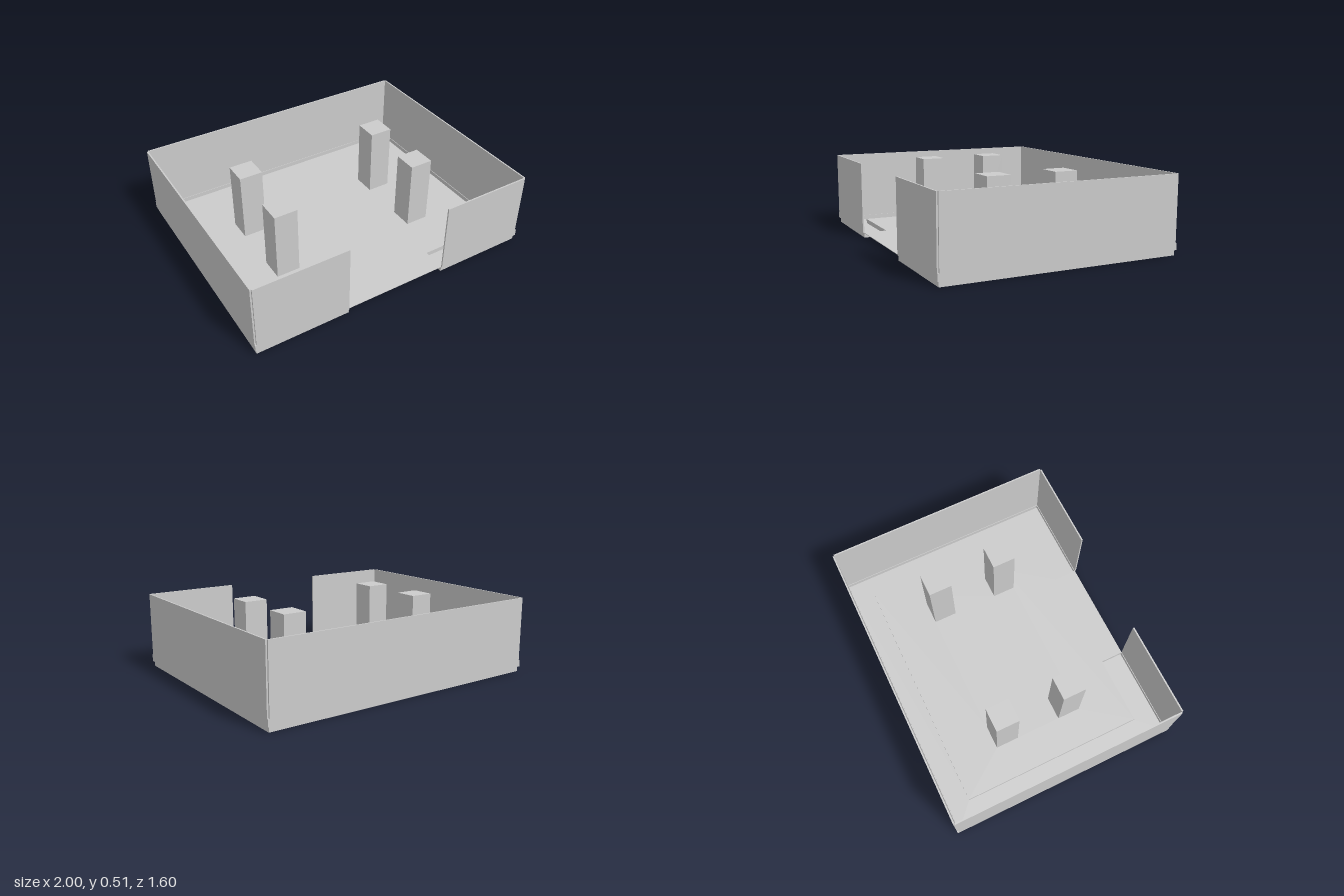
import * as THREE from 'three';

const WALL_TOP = 0.515, FLOOR_Y = 0.035, SHEET = 0.004, WALL = 0.01;
const OPEN = 0.36;                                  // half width of the front opening
const RIM_X = 0.83, RIM_BACK = -0.64, RIM_FRONT = 0.63;
const material = new THREE.MeshStandardMaterial({ color: 0xcccccc, side: THREE.DoubleSide, flatShading: true });

export function createModel() {
  const group = new THREE.Group();

  const add = (name, geometry) => {
    const mesh = new THREE.Mesh(geometry, material);
    mesh.name = name;
    group.add(mesh);
  };

  // Box given by its lower and upper limits
  const box = (name, x0, x1, y0, y1, z0, z1) => {
    const g = new THREE.BoxGeometry(x1 - x0, y1 - y0, z1 - z0);
    add(name, g.translate((x0 + x1) / 2, (y0 + y1) / 2, (z0 + z1) / 2));
  };

  // Flat plate from [x, z] outline and holes, standing on y0
  const toPoints = (list) => list.map(([x, z]) => new THREE.Vector2(x, -z));
  const plate = (name, outline, holes, y0, height) => {
    const shape = new THREE.Shape(toPoints(outline));
    holes.forEach((h) => shape.holes.push(new THREE.Path(toPoints(h))));
    const g = new THREE.ExtrudeGeometry(shape, { depth: height, bevelEnabled: false });
    add(name, g.rotateX(-Math.PI / 2).translate(0, y0, 0));
  };
  const square = (x, z, r) => [[x - r, z - r], [x + r, z - r], [x + r, z + r], [x - r, z + r]];

  // Outline of the raised floor, running out through the front opening
  const floor = [
    [-OPEN, 0.79], [-OPEN, RIM_FRONT], [-RIM_X, RIM_FRONT], [-RIM_X, RIM_BACK],
    [RIM_X, RIM_BACK], [RIM_X, RIM_FRONT], [OPEN, RIM_FRONT], [OPEN, 0.79],
  ];
  const pillars = [];
  for (const x of [-0.517, 0.517]) for (const z of [-0.24, 0.235]) pillars.push([x, z]);

  plate('floor', floor, pillars.map(([x, z]) => square(x, z, 0.08)), FLOOR_Y - SHEET, SHEET);

  // Sunken channel under the walls, with its risers up to the floor
  plate('channelBottom', [...floor, [0.99, 0.79], [0.99, -0.79], [-0.99, -0.79], [-0.99, 0.79]], [], 0, SHEET);
  for (let i = 0; i < floor.length - 1; i++) {
    const [ax, az] = floor[i], [bx, bz] = floor[i + 1], t = SHEET / 2;
    box('channelRiser', Math.min(ax, bx) - t, Math.max(ax, bx) + t, 0, FLOOR_Y,
      Math.min(az, bz) - t, Math.max(az, bz) + t);
  }

  // Pillars with a shallow recess underneath
  for (const [x, z] of pillars) {
    box('pillar', x - 0.08, x + 0.08, 0.07, WALL_TOP, z - 0.08, z + 0.08);
    plate('pillarFoot', square(x, z, 0.08), [square(x, z, 0.078)], FLOOR_Y - SHEET, 0.07 - FLOOR_Y + SHEET);
  }

  // Thin outer walls, set back a little at the foot and at the corners
  box('backWall', -0.99, 0.99, FLOOR_Y, WALL_TOP, -0.8, -0.8 + WALL);
  box('backFoot', -0.99, 0.99, 0, FLOOR_Y, -0.79, -0.79 + SHEET);
  for (const s of [-1, 1]) {
    const mirrored = (name, x0, x1, ...rest) => box(name, Math.min(s * x0, s * x1), Math.max(s * x0, s * x1), ...rest);
    mirrored('sideWall', 0.99, 1, FLOOR_Y, WALL_TOP, -0.79, 0.79);
    mirrored('sideFoot', 0.99 - SHEET, 0.99, 0, FLOOR_Y, -0.79, 0.79);
    mirrored('frontWall', OPEN, 0.99, FLOOR_Y, WALL_TOP, 0.79, 0.8);
    mirrored('frontFoot', OPEN, 0.99, 0, FLOOR_Y, 0.79 - SHEET, 0.79);
    for (const z of [-0.795, 0.795]) mirrored('cornerFoot', 0.99, 1, FLOOR_Y, 0.08, z - 0.005, z + 0.005);
  }
  return group;
}
